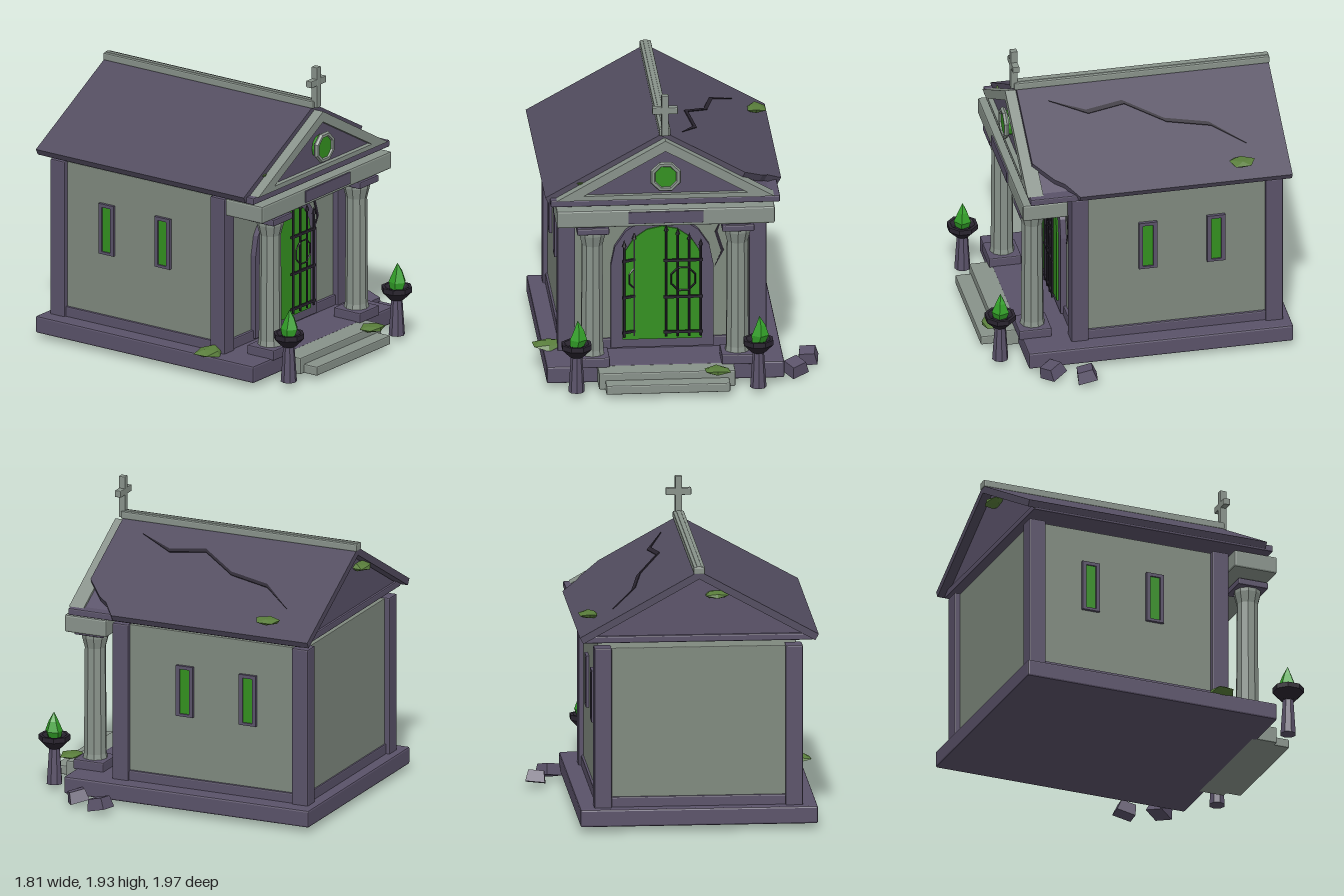
import * as THREE from 'three';
import { RoundedBoxGeometry } from 'three/addons/geometries/RoundedBoxGeometry.js';

const mat = (color) => new THREE.MeshStandardMaterial({ color, flatShading: true });
const STONE = mat(0x7f897e), TRIM = mat(0x88928a), PURPLE = mat(0x5a5269), ROOF = mat(0x524c5f);
const IRON = mat(0x29242f), GLOW = mat(0x33901f), MOSS = mat(0x587c3a), FLAME = mat(0x32a028);
const CX = -0.085; // the building's axis
const ANGLE = Math.atan(0.555); // roof pitch

function add(parent, name, geometry, material, x = 0, y = 0, z = 0) {
  const m = new THREE.Mesh(geometry, material);
  m.name = name;
  m.position.set(x, y, z);
  parent.add(m);
  return m;
}

// Chamfered block given by its extents
function block(parent, name, material, x0, x1, y0, y1, z0, z1, r = 0.008) {
  const geo = new RoundedBoxGeometry(x1 - x0, y1 - y0, z1 - z0, 1, r);
  return add(parent, name, geo, material, (x0 + x1) / 2, (y0 + y1) / 2, (z0 + z1) / 2);
}

function polygon(points) {
  return new THREE.Shape(points.map(([x, y]) => new THREE.Vector2(x, y)));
}

const extrude = (shape, depth) => new THREE.ExtrudeGeometry(shape, { depth, bevelEnabled: false, curveSegments: 8 });

const triangle = (half, y0, y1) => polygon([[-half, y0], [half, y0], [0, y1]]);

// Door outline: straight jambs under a round head
function arch(half, y0, spring, top) {
  const pts = [[-half, y0], [half, y0]];
  for (let i = 0; i <= 8; i++) {
    const a = (i / 8) * Math.PI;
    pts.push([half * Math.cos(a), spring + (top - spring) * Math.sin(a)]);
  }
  return polygon(pts);
}

// Thin zigzag sliver that tapers to both ends
function crack(points, width) {
  const w = points.map((_, i) => (i === 0 || i === points.length - 1 ? 0.001 : width));
  const side = (s) => points.map(([x, y], i) => [x + s * w[i], y + s * w[i] * 0.4]);
  return extrude(polygon([...side(1), ...side(-1).reverse()]), 0.006);
}

// Lay a flat shape on the roof slope: shape x runs down the slope, shape y is -z
function onSlope(geo, sign) {
  return geo.rotateX(-Math.PI / 2).rotateZ(-sign * ANGLE);
}

// Irregular faceted lump
function lump(parent, name, material, [x, y, z], [sx, sy, sz], seed) {
  const geo = new THREE.IcosahedronGeometry(1, 0);
  const p = geo.attributes.position;
  for (let i = 0; i < p.count; i++) {
    const k = 0.95 + 0.13 * Math.sin(p.getX(i) * 5 + p.getY(i) * 3 + p.getZ(i) * 7 + seed);
    p.setXYZ(i, p.getX(i) * k * sx, p.getY(i) * k * sy, p.getZ(i) * k * sz);
  }
  return add(parent, name, geo, material, x, y, z);
}

function buildColumn(parent, x) {
  const z = 0.66;
  block(parent, 'columnPlinth', PURPLE, x - 0.105, x + 0.105, 0.13, 0.197, z - 0.105, z + 0.105);
  const profile = [[0.08, 0.195], [0.073, 0.23], [0.068, 0.93], [0.086, 1.0], [0.086, 1.025]];
  const shaft = new THREE.LatheGeometry(profile.map(([r, y]) => new THREE.Vector2(r, y)), 10);
  add(parent, 'columnShaft', shaft, TRIM, x, 0, z);
  block(parent, 'columnCapital', PURPLE, x - 0.102, x + 0.102, 1.022, 1.066, z - 0.102, z + 0.102);
  block(parent, 'columnAbacus', PURPLE, x - 0.08, x + 0.08, 1.06, 1.08, z - 0.08, z + 0.08, 0.004);
}

// One gate leaf, hinge at the origin, reaching in direction dir
function buildGate(parent, hingeX, dir, turn) {
  const gate = new THREE.Group();
  gate.name = 'gateLeaf';
  [0.885, 0.925, 0.96, 0.985].forEach((top, i) => {
    const x = dir * i * 0.073, tip = 0.045;
    add(gate, 'gateBar', new THREE.CylinderGeometry(0.008, 0.008, top - tip - 0.23, 6), IRON, x, (top - tip + 0.23) / 2, 0);
    add(gate, 'gateSpike', new THREE.ConeGeometry(0.016, tip, 6), IRON, x, top - tip / 2, 0);
  });
  for (const y of [0.26, 0.495, 0.74]) {
    add(gate, 'gateRail', new THREE.BoxGeometry(0.25, 0.016, 0.014), IRON, dir * 0.112, y, 0);
  }
  const ring = add(gate, 'gateRing', new THREE.TorusGeometry(0.082, 0.006, 4, 8), IRON, dir * 0.112, 0.615, 0);
  ring.rotation.z = Math.PI / 8;
  gate.position.set(hingeX, 0, 0.485);
  gate.rotation.y = turn;
  parent.add(gate);
}

function buildTorch(parent, x, z) {
  const torch = new THREE.Group();
  torch.name = 'torch';
  add(torch, 'torchPost', new THREE.CylinderGeometry(0.035, 0.052, 0.25, 8), PURPLE, 0, 0.15, 0);
  const bowl = [[0, 0.25], [0.045, 0.26], [0.1, 0.315], [0.1, 0.347], [0.08, 0.347], [0.05, 0.325], [0, 0.325]];
  add(torch, 'torchBowl', new THREE.LatheGeometry(bowl.map(([r, y]) => new THREE.Vector2(r, y)), 8), IRON).rotation.y = Math.PI / 8;
  const flame = [[0, 0.32], [0.045, 0.33], [0.058, 0.375], [0.032, 0.44], [0, 0.5]];
  const geo = new THREE.LatheGeometry(flame.map(([r, y]) => new THREE.Vector2(r, y)), 5);
  const p = geo.attributes.position;
  for (let i = 0; i < p.count; i++) p.setX(i, p.getX(i) + 0.015 * Math.sin((p.getY(i) - 0.32) * 15));
  add(torch, 'torchFlame', geo, FLAME);
  torch.position.set(x, 0, z);
  parent.add(torch);
}

export function createModel() {
  const model = new THREE.Group();
  model.name = 'mausoleum';
  const b = new THREE.Group();
  b.name = 'building';
  b.position.x = CX;
  model.add(b);

  // Base and steps
  block(b, 'baseSlab', PURPLE, -0.753, 0.753, 0.025, 0.138, -0.967, 0.743, 0.012);
  block(b, 'upperStep', TRIM, -0.432, 0.432, 0.025, 0.134, 0.7, 0.877);
  block(b, 'lowerStep', TRIM, -0.393, 0.393, 0.025, 0.085, 0.7, 0.977);

  // Walls with corner pillars and skirting
  block(b, 'walls', STONE, -0.63, 0.63, 0.13, 1.165, -0.885, 0.41, 0.004);
  block(b, 'skirting', PURPLE, -0.645, 0.645, 0.13, 0.203, -0.895, 0.43);
  for (const s of [-1, 1]) {
    for (const z of [0.392, -0.863]) {
      block(b, 'cornerPillar', PURPLE, s * 0.606 - 0.055, s * 0.606 + 0.055, 0.13, 1.17, z - 0.056, z + 0.056);
    }
    // Side windows
    for (const z of [-0.05, -0.49]) {
      const hole = polygon([[-0.033, -0.15], [0.033, -0.15], [0.033, 0.145], [-0.033, 0.145]]);
      const frame = polygon([[-0.059, -0.167], [0.059, -0.167], [0.059, 0.167], [-0.059, 0.167]]);
      frame.holes.push(hole);
      add(b, 'windowFrame', extrude(frame, 0.03), PURPLE, s * 0.62, 0.777, z).rotation.y = s * Math.PI / 2;
      add(b, 'windowGlow', new THREE.BoxGeometry(0.02, 0.3, 0.07), GLOW, s * 0.63, 0.775, z);
    }
    buildColumn(b, s * 0.46);
    buildTorch(b, s * 0.576, 0.891);
  }

  // Doorway and gates
  add(b, 'doorFrame', extrude(arch(0.325, 0.15, 0.7, 1.025), 0.06), PURPLE, 0, 0, 0.387);
  add(b, 'doorGlow', extrude(arch(0.252, 0.205, 0.7, 0.962), 0.04), GLOW, 0, 0, 0.418);
  buildGate(b, 0.243, -1, 0);
  buildGate(b, -0.243, 1, 0.44);
  add(b, 'wallCrack', crack([[0.385, 1.0], [0.345, 0.9], [0.385, 0.77], [0.335, 0.665]], 0.009), IRON, 0, 0, 0.408);

  // Lintel and plaque
  block(b, 'lintel', TRIM, -0.691, 0.691, 1.075, 1.19, 0.475, 0.768, 0.012);
  block(b, 'plaque', PURPLE, -0.238, 0.238, 1.097, 1.175, 0.75, 0.778, 0.003);

  // Attic and pediment
  block(b, 'atticBase', PURPLE, -0.727, 0.727, 1.203, 1.248, -0.915, 0.725);
  add(b, 'attic', extrude(triangle(0.71, 1.22, 1.614), 1.56), PURPLE, 0, 0, -0.9);
  const pediment = triangle(0.69, 1.247, 1.635);
  pediment.holes.push(triangle(0.52, 1.277, 1.566));
  add(b, 'pedimentFrame', extrude(pediment, 0.102), TRIM, 0, 0, 0.635);
  add(b, 'pedimentPanel', extrude(triangle(0.55, 1.26, 1.58), 0.05), PURPLE, 0, 0, 0.655);
  add(b, 'roundWindowRing', new THREE.TorusGeometry(0.087, 0.018, 6, 8), TRIM, 0, 1.4, 0.745).rotation.z = Math.PI / 8;
  add(b, 'roundWindowGlow', new THREE.CylinderGeometry(0.078, 0.078, 0.06, 12), GLOW, 0, 1.4, 0.72).rotation.x = Math.PI / 2;

  // Roof slopes, the left one with a broken front corner
  const whole = [[0, 0.96], [0.866, 0.96], [0.866, -0.67], [0, -0.67]];
  const broken = [[0, 0.96], [0.866, 0.96], [0.866, -0.41], [0.76, -0.49], [0.72, -0.55], [0.583, -0.67], [0, -0.67]];
  for (const [s, pts] of [[-1, whole], [1, broken]]) {
    const geo = extrude(polygon(pts.map(([x, y]) => [s * x, y])), 0.045);
    geo.translate(0, 0, -0.045);
    add(b, 'roofSlope', onSlope(geo, s), ROOF, 0, 1.67, 0);
  }
  const line = [[0.527, 0.71], [0.379, 0.504], [0.325, 0.228], [0.183, -0.016], [0.22, -0.255], [0.125, -0.483]];
  const roofCrack = crack(line.map(([x, y]) => [x / Math.cos(ANGLE), y]), 0.014);
  add(b, 'roofCrack', onSlope(roofCrack, 1), IRON, 0, 1.67, 0);
  block(b, 'ridgeCap', TRIM, -0.036, 0.036, 1.65, 1.698, -0.965, 0.685);
  block(b, 'ridgeRib', TRIM, -0.015, 0.015, 1.66, 1.702, -0.963, 0.683, 0.004);

  // Cross finial
  block(b, 'crossUpright', TRIM, -0.022, 0.022, 1.655, 1.925, 0.66, 0.705, 0.005);
  block(b, 'crossArm', TRIM, -0.081, 0.081, 1.803, 1.847, 0.661, 0.704, 0.005);

  // Moss patches
  const patches = [
    [[0.59, 1.335, -0.65], [0.07, 0.026, 0.09]],
    [[-0.2, 1.51, -0.92], [0.085, 0.025, 0.08]],
    [[-0.8, 0.155, 0.37], [0.11, 0.035, 0.09]],
    [[0.23, 0.14, 0.89], [0.1, 0.025, 0.08]],
    [[-0.62, 1.335, 0.62], [0.06, 0.022, 0.07]],
  ];
  patches.forEach(([p, s], i) => lump(model, 'moss', MOSS, p, s, i * 1.7));

  // Fallen roof rubble
  const rubble = [[0.745, 0.052, 0.61, 0.6], [0.84, 0.055, 0.41, -0.12]];
  for (const [x, y, z, turn] of rubble) {
    const chunk = add(model, 'rubble', new THREE.CylinderGeometry(0.07, 0.088, 0.075, 4), PURPLE, x, y, z);
    chunk.rotation.set(0.16, turn + Math.PI / 4, 0.14);
  }
  return model;
}
